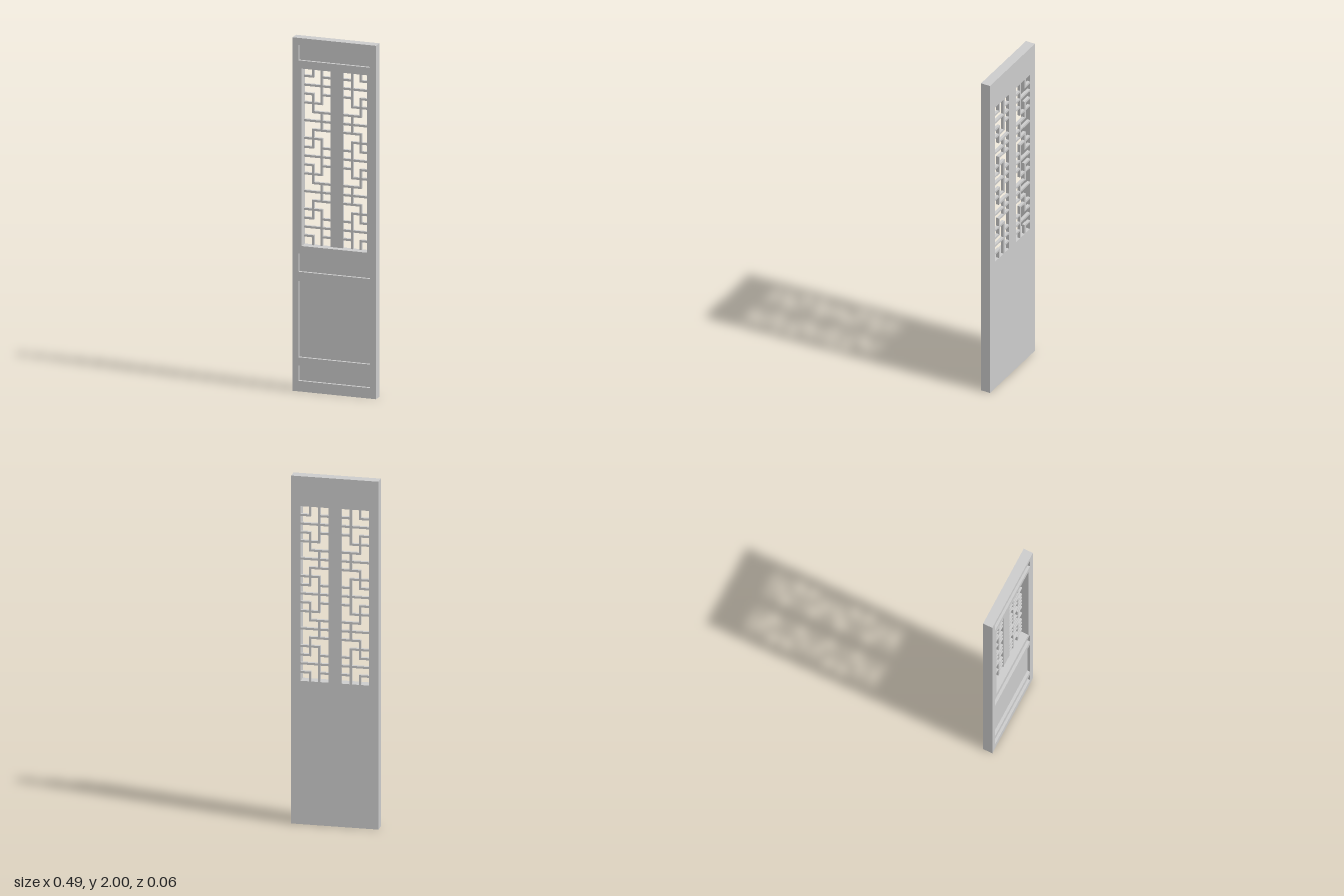
import * as THREE from 'three';

const W = 0.244, BACK = -0.028, FRONT = 0.028;
const LATTICE_Z = -0.01, PANEL_Z = 0.012;
const mat = new THREE.MeshStandardMaterial({ color: 0xcccccc, flatShading: true });

// Rectangles as [x0, y0, x1, y1]
const opening = [-0.191, 0.824, 0.191, 1.828];
const panes = [[-0.191, 0.824, -0.037, 1.828], [0.037, 0.824, 0.191, 1.828]];
const panels = [
  [-0.209, 0.06, 0.209, 0.146],
  [-0.209, 0.193, 0.209, 0.625],
  [-0.209, 0.677, 0.209, 0.78],
  [-0.209, 1.873, 0.209, 1.96],
];

function rect(target, [x0, y0, x1, y1]) {
  target.moveTo(x0, y0);
  target.lineTo(x1, y0);
  target.lineTo(x1, y1);
  target.lineTo(x0, y1);
  target.closePath();
  return target;
}

// Full-size slab between two depths, pierced by rectangles
function slab(name, z0, z1, holes) {
  const shape = rect(new THREE.Shape(), [-W, 0, W, 2]);
  for (const h of holes) shape.holes.push(rect(new THREE.Path(), h));
  const geo = new THREE.ExtrudeGeometry(shape, { depth: z1 - z0, bevelEnabled: false });
  geo.translate(0, 0, z0);
  const mesh = new THREE.Mesh(geo, mat);
  mesh.name = name;
  return mesh;
}

// Lattice bars on a 3 x 20 grid: [u0, row0, u1, row1], u = 0 at the outer edge
function latticeBars() {
  const bars = [];
  for (const r of [2, 10, 18]) {
    bars.push([0, r, 3, r], [2, r - 2, 2, r + 2]);
    for (const s of [-1, 1]) {
      bars.push(
        [0, r + s, 1, r + s], [2, r + s, 3, r + s],
        [1, r + s, 1, r + 3 * s],
        [0, r + 2 * s, 2, r + 2 * s],
        [1, r + 3 * s, 3, r + 3 * s],
      );
    }
  }
  for (const r of [6, 14]) bars.push([0, r, 3, r], [2, r - 1, 2, r + 1]);
  return bars;
}

function lattice(name, side) {
  const group = new THREE.Group();
  group.name = name;
  const t = 0.012, du = 0.154 / 3, dv = 1.004 / 20;
  const clampRow = (v) => Math.min(20, Math.max(0, v));
  for (const [u0, v0, u1, v1] of latticeBars()) {
    if (v0 === v1 && (v0 <= 0 || v0 >= 20)) continue;
    const a = clampRow(Math.min(v0, v1)), b = clampRow(Math.max(v0, v1));
    if (a === b && v0 !== v1) continue;
    const w = (u1 - u0) * du + t, h = (b - a) * dv + t;
    const bar = new THREE.Mesh(new THREE.BoxGeometry(w, h, LATTICE_Z - BACK - 0.001), mat);
    bar.name = 'latticeBar';
    bar.position.set(
      side * (0.191 - (u0 + u1) / 2 * du),
      0.824 + (a + b) / 2 * dv,
      (BACK + LATTICE_Z) / 2,
    );
    group.add(bar);
  }
  return group;
}

export function createModel() {
  const door = new THREE.Group();
  door.name = 'latticeDoor';
  // Back layer keeps the centre mullion, front layers open into one recess
  door.add(slab('backBoardWithMullion', BACK, LATTICE_Z, panes));
  door.add(slab('core', LATTICE_Z, PANEL_Z, [opening]));
  door.add(slab('frontFrameWithPanels', PANEL_Z, FRONT, [opening, ...panels]));
  door.add(lattice('leftLattice', 1), lattice('rightLattice', -1));
  return door;
}
